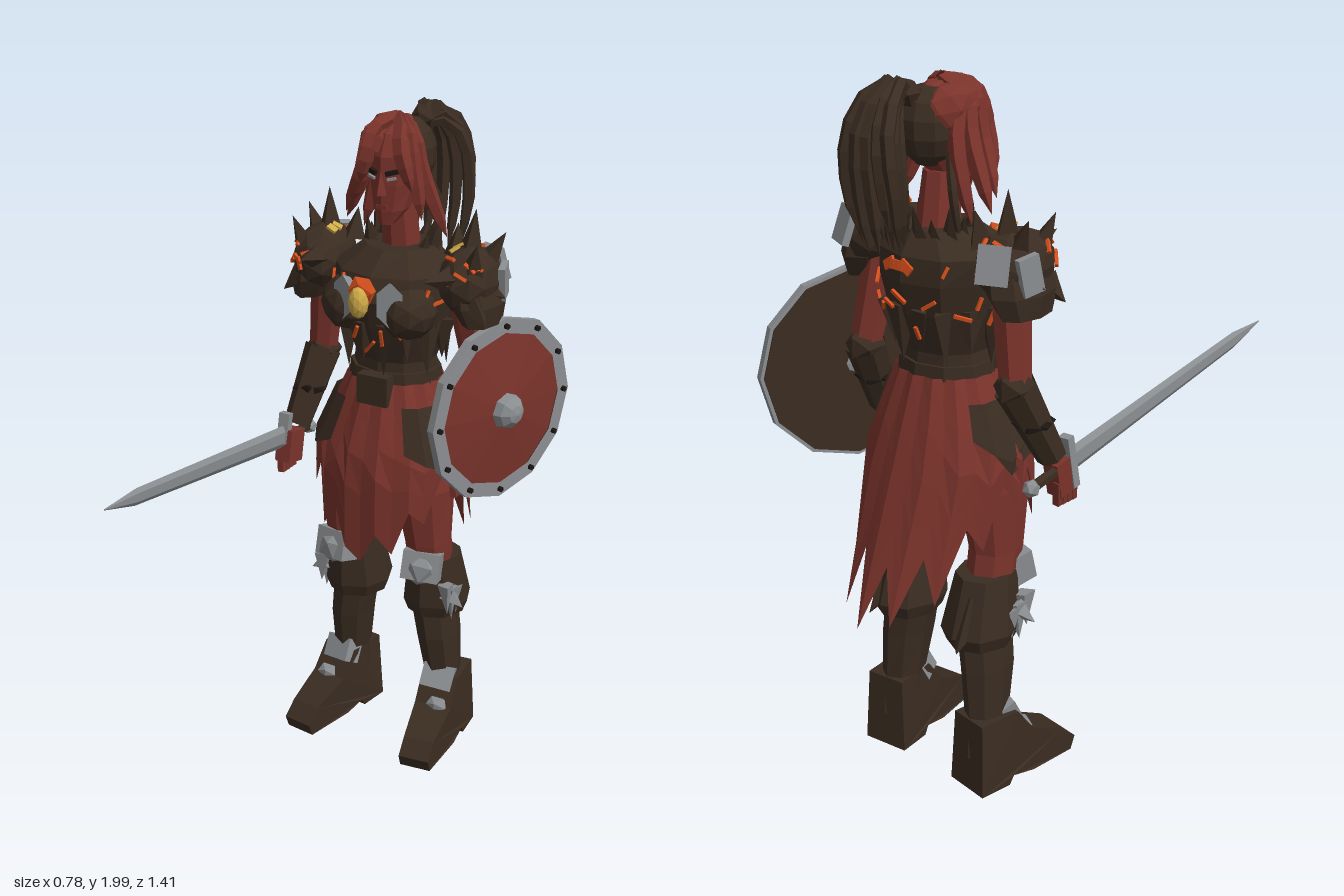
import * as THREE from 'three';

const mat = (name, color, side = THREE.FrontSide) => {
  const m = new THREE.MeshStandardMaterial({ color, side });
  m.name = name;
  return m;
};

export function createModel() {
  const root = new THREE.Group();
  root.name = 'warrior';
  const red = mat('deep red', 0x7a332b, THREE.DoubleSide);
  const brown = mat('dark brown', 0x3a2c21, THREE.DoubleSide);
  const grey = mat('steel grey', 0x8b8e91);
  const orange = mat('ember orange', 0xd8501c);
  const gold = mat('gold', 0xd0aa48);
  const black = mat('near black', 0x1c1512);
  const X0 = -0.035; // body centre line
  const V = (x, y, z) => new THREE.Vector3(x, y, z);
  let seed = 7;
  const rnd = () => (seed = (seed * 16807) % 2147483647) / 2147483647;

  const add = (name, geo, m, p = [0, 0, 0], r = [0, 0, 0], s = [1, 1, 1], parent = root) => {
    const g = geo.index ? geo.toNonIndexed() : geo; // faceted shading
    g.computeVertexNormals();
    const mesh = new THREE.Mesh(g, m);
    mesh.name = name;
    mesh.position.set(...p);
    mesh.rotation.set(...r);
    mesh.scale.set(...s);
    parent.add(mesh);
    return mesh;
  };
  const box = (...d) => new THREE.BoxGeometry(...d);
  const ball = (d = 1) => new THREE.IcosahedronGeometry(1, d);
  const grid = (pos, idx) => {
    const g = new THREE.BufferGeometry();
    g.setAttribute('position', new THREE.Float32BufferAttribute(pos, 3));
    g.setIndex(idx);
    return g;
  };

  // Capped stack of elliptical rings [x, y, z, rx, rz], listed upwards
  const loft = (rings, n = 8) => {
    const pos = [], idx = [], last = rings.length - 1;
    for (const [x, y, z, rx, rz] of rings)
      for (let j = 0; j < n; j++) {
        const a = (j / n) * Math.PI * 2;
        pos.push(x + rx * Math.sin(a), y, z + rz * Math.cos(a));
      }
    pos.push(...rings[0].slice(0, 3), ...rings[last].slice(0, 3));
    const c = (last + 1) * n;
    for (let j = 0; j < n; j++) {
      const k = (j + 1) % n;
      for (let i = 0; i < last; i++) {
        const a = i * n + j, b = i * n + k;
        idx.push(a, b, b + n, a, b + n, a + n);
      }
      idx.push(c, k, j, c + 1, last * n + j, last * n + k);
    }
    return grid(pos, idx);
  };

  // Tube along points, with radius given by a rule of t
  const tube = (pts, rule, n = 5, seg = 7) => {
    const curve = new THREE.CatmullRomCurve3(pts.map(p => V(...p)));
    const g = new THREE.TubeGeometry(curve, seg, 1, n);
    const p = g.attributes.position, v = V();
    for (let i = 0; i < p.count; i++) {
      const t = Math.floor(i / (n + 1)) / seg, c = curve.getPointAt(t);
      v.fromBufferAttribute(p, i).sub(c).multiplyScalar(rule(t)).add(c);
      p.setXYZ(i, v.x, v.y, v.z);
    }
    return g;
  };
  const lock = r => t => r * (0.55 + 0.9 * t) * Math.sqrt(Math.max(0, 1 - t));

  // Pointed shard from a to b
  const spike = (name, a, b, r, m = brown, flat = 1, n = 4) => {
    const A = V(...a), B = V(...b), d = B.clone().sub(A);
    const mesh = add(name, new THREE.ConeGeometry(r, d.length(), n), m, A.clone().add(B).multiplyScalar(0.5).toArray());
    mesh.quaternion.setFromUnitVectors(V(0, 1, 0), d.normalize());
    mesh.scale.z = flat;
  };
  // Thin plate lying on an ellipsoid at centre c, radii e, direction d
  const inlay = (name, c, e, d, w, h, m, roll = 0, thick = 0.008) => {
    const n = V(...d).normalize();
    const p = V(n.x * e[0], n.y * e[1], n.z * e[2]).add(V(...c));
    const mesh = add(name, box(w, h, thick), m, p.toArray());
    mesh.lookAt(p.clone().add(V(n.x / e[0], n.y / e[1], n.z / e[2])));
    mesh.rotateZ(roll);
  };

  // Torso, belt and neck
  add('cuirass', loft([[X0, 1.19, -0.34, 0.135, 0.115], [X0, 1.27, -0.34, 0.125, 0.11], [X0, 1.38, -0.335, 0.165, 0.15],
    [X0, 1.47, -0.33, 0.185, 0.175], [X0, 1.54, -0.34, 0.19, 0.16], [X0, 1.6, -0.36, 0.11, 0.1]], 10), brown);
  add('belt', loft([[X0, 1.19, -0.34, 0.145, 0.125], [X0, 1.24, -0.34, 0.14, 0.12]], 10), brown);
  add('buckle', box(0.1, 0.09, 0.04), brown, [X0 + 0.005, 1.195, -0.205]);
  add('pelvis', loft([[X0, 0.96, -0.34, 0.15, 0.11], [X0, 1.1, -0.34, 0.175, 0.13], [X0, 1.2, -0.34, 0.14, 0.115]]), red);
  add('neck', loft([[X0, 1.56, -0.37, 0.06, 0.06], [X0, 1.74, -0.345, 0.045, 0.055]]), red);
  for (let i = 0; i < 14; i++) {
    const a = (i + 0.5) / 14 * Math.PI * 2, s = Math.sin(a), c = Math.cos(a);
    spike('cuirassPlate', [X0 + s * 0.15, 1.4, -0.335 + c * 0.14], [X0 + s * 0.155, 1.24 + 0.04 * (i % 2), -0.335 + c * 0.135], 0.045, brown, 0.5);
    if (c < 0.6) spike('collarShard', [X0 + s * 0.09, 1.56, -0.37 + c * 0.08], [X0 + s * 0.11, 1.64 + 0.03 * (i % 2), -0.38 + c * 0.1], 0.035, brown, 0.4);
  }
  const chest = [X0, 1.46, -0.335], chestR = [0.188, 0.25, 0.178];
  for (let i = 0; i < 26; i++) {
    const a = (i / 26) * Math.PI * 2;
    inlay('emberVein', chest, chestR, [Math.sin(a), rnd() * 0.9 - 0.6, Math.cos(a)], 0.03 + rnd() * 0.03, 0.009, orange, rnd() * 3);
  }
  add('amulet', ball(1), gold, [X0 - 0.005, 1.48, -0.125], [0, 0, 0], [0.03, 0.047, 0.028]);
  add('amuletMount', ball(0), orange, [X0 - 0.005, 1.51, -0.145], [0, 0, 0], [0.045, 0.045, 0.025]);
  for (const x of [-0.04, 0, 0.04]) inlay('backEmber', chest, [0.19, 0.25, 0.185], [x * 4, 0.25, -1], 0.04, 0.025, orange, x * 15);

  // Head and face
  add('head', loft([[X0, 1.675, -0.275, 0.022, 0.025], [X0, 1.715, -0.305, 0.05, 0.062], [X0, 1.79, -0.335, 0.07, 0.098],
    [X0, 1.87, -0.345, 0.076, 0.108], [X0, 1.93, -0.35, 0.06, 0.085], [X0, 1.965, -0.36, 0.02, 0.03]], 10), red);
  spike('nose', [X0, 1.765, -0.238], [X0, 1.835, -0.238], 0.02, red);
  add('lips', box(0.035, 0.012, 0.02), red, [X0, 1.728, -0.252]);
  for (const s of [-1, 1]) {
    add('eye', box(0.026, 0.007, 0.008), grey, [X0 + s * 0.032, 1.812, -0.243], [0, s * 0.35, s * 0.2]);
    add('brow', box(0.04, 0.012, 0.012), black, [X0 + s * 0.034, 1.83, -0.244], [0, s * 0.35, s * 0.25]);
    add('ear', ball(0), red, [X0 + s * 0.076, 1.8, -0.35], [0, 0, 0], [0.01, 0.03, 0.02]);
    add('sideBraid', tube([[X0 + s * 0.07, 1.8, -0.39], [X0 + s * 0.1, 1.7, -0.41], [X0 + s * 0.1, 1.58, -0.39]], lock(0.018)), brown);
  }

  // Hair: brown cap, red fringe, brown ponytail
  add('hairCap', new THREE.SphereGeometry(1, 10, 7), brown, [X0 + 0.005, 1.855, -0.38], [0, 0, 0], [0.086, 0.108, 0.09]);
  const fringe = [[-0.1, 1.83, -0.25, -0.15, 1.72, -0.27], [-0.12, 1.82, -0.29, -0.19, 1.68, -0.31], [-0.13, 1.83, -0.34, -0.21, 1.65, -0.35],
    [-0.12, 1.82, -0.38, -0.17, 1.62, -0.38], [-0.08, 1.88, -0.24, -0.1, 1.79, -0.235], [0.02, 1.9, -0.25, 0.06, 1.78, -0.25],
    [0.05, 1.84, -0.27, 0.08, 1.7, -0.27], [0.06, 1.83, -0.3, 0.125, 1.64, -0.34]];
  for (const [a, b, c, d, e, f] of fringe)
    add('fringeLock', tube([[X0, 1.965, -0.34], [(X0 + a) / 2 + (a > X0 ? 0.015 : -0.015), 1.94, (c - 0.31) / 2], [a, b, c], [d, e, f]], lock(0.036)), red);
  add('rightHairSweep', ball(1), red, [X0 - 0.03, 1.885, -0.34], [0, 0, 0.4], [0.066, 0.085, 0.1]);
  add('ponytailTie', ball(0), brown, [X0 + 0.02, 1.945, -0.45], [0, 0, 0], [0.04, 0.04, 0.04]);
  for (let i = 0; i < 15; i++) {
    const x = -0.1 + (i / 14) * 0.2, d = (i % 3) * 0.028;
    add('ponytailLock', tube([[X0 + 0.02, 1.93, -0.43], [x * 0.35, 1.975 - d * 0.7, -0.485], [x * 0.8, 1.87, -0.575 + d],
      [x, 1.7, -0.575 + d], [x * 0.85, 1.54 + 0.09 * rnd(), -0.55 + d]], lock(0.028)), brown);
  }

  // Skirt: draped ring with a torn hem, one column every 12 degrees from the front towards +x
  const hem = [0.66, 0.76, 0.7, 0.84, 0.8, 0.94, 0.98, 0.9, 1.0, 0.88, 0.8, 0.66, 0.8, 0.58, 0.75, 0.55,
    0.72, 0.57, 0.75, 0.62, 0.82, 0.75, 0.92, 0.84, 0.95, 0.84, 0.92, 0.74, 0.82, 0.7];
  const drape = (a, y, out = 0) => {
    const d = 1.21 - y, s = Math.sin(a), c = Math.cos(a);
    const rx = 0.14 + 0.1 * Math.min(1, d / 0.22) + out;
    const rz = (c > 0 ? 0.125 + 0.085 * Math.min(1, d / 0.25) : 0.12 + 0.35 * d) + out;
    return [X0 + s * rx * (c < 0 ? 1 - 0.25 * d : 1), y, -0.34 + c * rz];
  };
  const cloth = (hems, a0, step, top, out) => {
    const pos = [], idx = [], R = 5, n = hems.length;
    hems.forEach((h, j) => {
      for (let i = 0; i <= R; i++) pos.push(...drape(a0 + j * step, top + (h - top) * (i / R), out + (j % 2) * 0.008));
    });
    for (let j = 0; j < n - 1; j++)
      for (let i = 0; i < R; i++) {
        const a = j * (R + 1) + i, b = a + R + 1;
        idx.push(a, a + 1, b + 1, a, b + 1, b);
      }
    return grid(pos, idx);
  };
  add('skirt', cloth([...hem, hem[0]], 0, Math.PI / 15, 1.21, 0), red);
  for (const s of [-1, 1])
    add('hipSash', cloth([1.02, 0.99, 0.97, 1.0, 0.95, 1.02, 1.06], s * 0.55, s * 0.26, 1.15, 0.012), brown);

  // Legs and boots, mirrored
  for (const s of [-1, 1]) {
    const x = o => X0 + s * o;
    const leg = r => loft(r.map(([o, ...q]) => [x(o), ...q]));
    add('thigh', leg([[0.14, 0.58, -0.33, 0.068, 0.075], [0.14, 0.7, -0.305, 0.07, 0.08], [0.125, 0.88, -0.3, 0.09, 0.108], [0.095, 1.06, -0.33, 0.09, 0.12]]), red);
    add('boot', leg([[0.17, 0.1, -0.385, 0.06, 0.075], [0.165, 0.22, -0.375, 0.055, 0.07], [0.155, 0.36, -0.36, 0.064, 0.085], [0.14, 0.47, -0.355, 0.07, 0.085]]), brown);
    add('bootCuff', leg([[0.14, 0.44, -0.37, 0.09, 0.1], [0.14, 0.48, -0.37, 0.105, 0.115], [0.14, 0.64, -0.345, 0.08, 0.09]]), brown);
    spike('cuffPoint', [x(0.15), 0.56, -0.4], [x(0.17), 0.45, -0.5], 0.06, brown);
    add('kneePlate', box(0.115, 0.09, 0.07), grey, [x(0.15), 0.635, -0.25], [-0.25, s * 0.25, 0]);
    add('kneeRidge', ball(0), grey, [x(0.15), 0.625, -0.235], [0, 0, 0.4], [0.06, 0.055, 0.04]);
    for (const [y, z, l] of [[0.57, -0.28, 0.1], [0.55, -0.31, 0.11], [0.54, -0.34, 0.09]])
      spike('shinGuard', [x(0.215), y, z], [x(0.225), y - l, z + 0.005], 0.036, grey, 0.7);
    spike('guardTip', [x(0.21), 0.53, -0.3], [x(0.27), 0.5, -0.29], 0.035, grey);

    // Foot: side profile extruded across, narrowed at the toe
    const profile = [[-0.46, 0], [-0.36, 0], [-0.345, 0.025], [-0.27, 0.012], [-0.11, 0], [-0.095, 0.04], [-0.14, 0.085], [-0.26, 0.14], [-0.32, 0.22], [-0.45, 0.22]];
    const g = new THREE.ExtrudeGeometry(new THREE.Shape(profile.map(([z, y]) => new THREE.Vector2(z + 0.38, y))), { depth: 0.14, bevelEnabled: false });
    g.translate(0, 0, -0.07).rotateY(-Math.PI / 2);
    const p = g.attributes.position;
    for (let i = 0; i < p.count; i++)
      p.setX(i, p.getX(i) * (p.getZ(i) > 0.2 ? 0.7 : 1) * (p.getY(i) > 0.13 ? 0.85 : 1));
    add('foot', g, brown, [x(0.175), 0, -0.38], [0, s * 0.13, 0]);
    add('anklePlate', box(0.1, 0.075, 0.06), grey, [x(0.175), 0.21, -0.325], [-0.5, s * 0.3, 0]);
    add('instepPlate', ball(0), grey, [x(0.2), 0.14, -0.275], [0, 0, 0], [0.04, 0.028, 0.03]);
    add('toePatch', box(0.05, 0.008, 0.06), red, [x(0.205), 0.082, -0.16], [0.45, s * 0.13, 0]);

    // Shoulder armour
    const c = [x(0.24), 1.53, -0.335], e = [0.088, 0.1, 0.12];
    add('pauldron', ball(1), brown, c, [0, 0, 0], e);
    add('pauldronLower', loft([[x(0.28), 1.41, -0.34, 0.05, 0.085], [x(0.265), 1.47, -0.34, 0.072, 0.11], [x(0.25), 1.56, -0.34, 0.06, 0.1]]), brown);
    for (const [a, b] of [[[0.23, 1.6, -0.35], [0.24, 1.73, -0.36]], [[0.27, 1.57, -0.36], [0.325, 1.67, -0.38]], [[0.27, 1.56, -0.28], [0.3, 1.66, -0.25]],
      [[0.17, 1.58, -0.38], [0.165, 1.67, -0.4]], [[0.28, 1.51, -0.34], [0.348, 1.49, -0.345]], [[0.28, 1.48, -0.27], [0.335, 1.43, -0.25]], [[0.22, 1.55, -0.25], [0.2, 1.57, -0.13]]])
      spike('shoulderSpike', [x(a[0]), a[1], a[2]], [x(b[0]), b[1], b[2]], 0.04);
    for (let i = 0; i < 9; i++)
      inlay('shoulderEmber', c, e, [s * (rnd() - 0.3), rnd() * 0.8, rnd() * 2 - 1], 0.04, 0.01, orange, rnd() * 3, 0.009);
    for (const z of [0, 0.25]) inlay('shoulderGold', c, [0.09, 0.104, 0.122], [-s * 0.5, 1, z], 0.022, 0.03, gold, 0.4);
    inlay('backShoulderPlate', c, [0.09, 0.1, 0.12], [s * 0.25, 0.25, -0.8], 0.08, 0.1, grey, 0, 0.02);
    inlay('sideShoulderPlate', c, [0.09, 0.1, 0.12], [s, 0, -0.35], 0.06, 0.1, grey, 0.2, 0.02);
    add('chestPlate', new THREE.CylinderGeometry(0.05, 0.04, 0.03, 6), grey, [x(0.072), 1.475, -0.172], [Math.PI / 2, 0, s * -0.35], [0.85, 1, 1.35]);
    add('breastGuard', ball(1), brown, [x(0.095), 1.44, -0.235], [0, 0, 0], [0.085, 0.085, 0.09]);
  }

  // Arms: shoulder, elbow, wrist
  for (const [S, E, W] of [[[-0.27, 1.5, -0.35], [-0.305, 1.22, -0.37], [-0.335, 1.0, -0.26]], [[0.18, 1.5, -0.35], [0.205, 1.22, -0.41], [0.225, 1.02, -0.33]]]) {
    const mid = E.map((v, i) => v + (W[i] - v) * 0.5);
    add('upperArm', tube([S, S.map((v, i) => (v + E[i]) / 2), E], t => 0.055 - 0.012 * t, 7), red);
    add('bracer', tube([E, mid, W], t => 0.058 - 0.016 * t, 7, 4), brown);
    add('elbowGuard', ball(0), brown, E, [0, 0, 0], [0.055, 0.06, 0.06]);
    add('bracerBand', ball(0), black, mid, [0, 0.4, 0], [0.06, 0.03, 0.06]);
    add('hand', box(0.05, 0.1, 0.075), red, [W[0] - 0.008, W[1] - 0.06, W[2] + 0.03], [-0.2, 0, 0]);
    for (let i = 0; i < 4; i++)
      add('finger', box(0.02, 0.07, 0.017), red, [W[0] - 0.02, W[1] - 0.105, W[2] + 0.002 + i * 0.02], [-0.1, 0, 0.1]);
  }

  // Sword pointing forward
  const sword = new THREE.Group();
  sword.name = 'sword';
  sword.position.set(-0.35, 0.98, -0.16);
  sword.quaternion.setFromUnitVectors(V(0, 1, 0), V(0.035, 0.13, 0.86).normalize());
  root.add(sword);
  const part = (name, g, m, p, r) => add(name, g, m, p, r, [1, 1, 1], sword);
  part('blade', loft([[0, -0.05, 0, 0.013, 0.036], [0, 0.74, 0, 0.01, 0.025], [0, 0.88, 0, 0.001, 0.002]], 6), grey);
  part('guard', box(0.035, 0.025, 0.15), grey, [0, -0.05, 0]);
  part('grip', new THREE.CylinderGeometry(0.015, 0.015, 0.15, 6), brown, [0, -0.13, 0]);
  part('pommel', ball(0).scale(0.025, 0.025, 0.025), grey, [0, -0.21, 0]);

  // Round shield
  const shield = new THREE.Group();
  shield.name = 'shield';
  shield.position.set(0.288, 1.14, -0.38);
  shield.rotation.y = 1.245;
  root.add(shield);
  const plate = (name, g, m, p, s) => add(name, g, m, p, [Math.PI / 2, 0, 0], s, shield);
  plate('shieldFace', new THREE.CylinderGeometry(0.05, 0.245, 0.025, 12), red, [0, 0, 0.018]);
  plate('shieldBack', new THREE.CylinderGeometry(0.27, 0.27, 0.012, 12), brown, [0, 0, -0.006]);
  const ringPoints = r => Array.from({ length: 12 }, (_, i) => new THREE.Vector2(r * Math.sin(i * Math.PI / 6), r * Math.cos(i * Math.PI / 6)));
  const ring = new THREE.Shape(ringPoints(0.28));
  ring.holes.push(new THREE.Path(ringPoints(0.235)));
  add('shieldRim', new THREE.ExtrudeGeometry(ring, { depth: 0.024, bevelEnabled: false }), grey, [0, 0, -0.008], [0, 0, 0], [1, 1, 1], shield);
  plate('shieldBoss', new THREE.SphereGeometry(0.055, 8, 6), grey, [0, 0, 0.03], [1, 0.9, 1]);
  for (const q of ringPoints(0.256))
    plate('rivet', new THREE.CylinderGeometry(0.009, 0.009, 0.012, 6), black, [q.x, q.y, 0.02]);

  return root;
}
